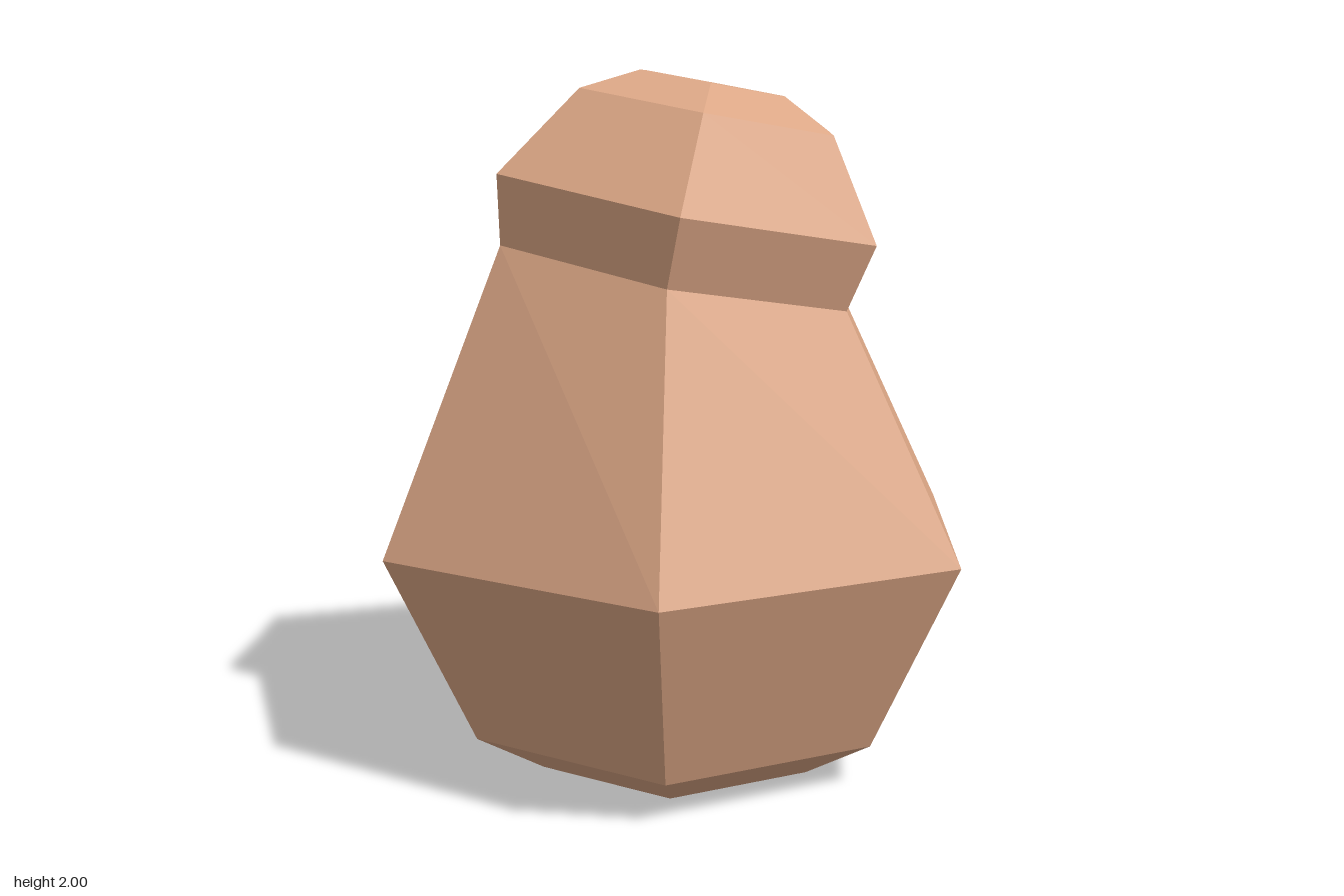
import * as THREE from 'three';

// Rings of the six-sided shape: radius, centre height, centre x, tilt (radians)
const TILT = 0.183;
const base = { r: 0.44, y: 0, x: 0, tilt: 0 };
const foot = { r: 0.645, y: 0.12, x: 0, tilt: 0 };
const belly = { r: 0.908, y: 0.675, x: 0, tilt: 0 };
const neck = { r: 0.557, y: 1.437, x: 0, tilt: TILT };
const brow = { r: 0.604, y: 1.625, x: 0.037, tilt: TILT };
const crown = { r: 0.408, y: 1.885, x: 0.087, tilt: TILT };
const top = { r: 0.235, y: 1.962, x: 0.1, tilt: TILT };

// Six-sided lathe whose rings are then tilted and shifted; faceted normals
function hexLoft(rings) {
  const points = rings.map(({ r, y }) => new THREE.Vector2(r, y));
  const lathe = new THREE.LatheGeometry(points, 6);
  const pos = lathe.attributes.position;
  for (let i = 0; i < pos.count; i++) {
    const ring = rings[i % rings.length];
    const x = pos.getX(i);
    pos.setX(i, ring.x + x * Math.cos(ring.tilt));
    pos.setY(i, ring.y - x * Math.sin(ring.tilt));
  }
  const geometry = lathe.toNonIndexed();
  geometry.computeVertexNormals();
  return geometry;
}

export function createModel() {
  const group = new THREE.Group();
  group.name = 'figure';
  const clay = new THREE.MeshStandardMaterial({ color: 0xdba685 });
  clay.name = 'clay';

  const add = (name, rings) => {
    const mesh = new THREE.Mesh(hexLoft(rings), clay);
    mesh.name = name;
    group.add(mesh);
  };

  // Upright body, closed underneath
  add('body', [{ ...base, r: 0 }, base, foot, belly, neck]);
  // Tilted head, closed on top
  add('head', [neck, brow, crown, top, { ...top, r: 0 }]);
  return group;
}
